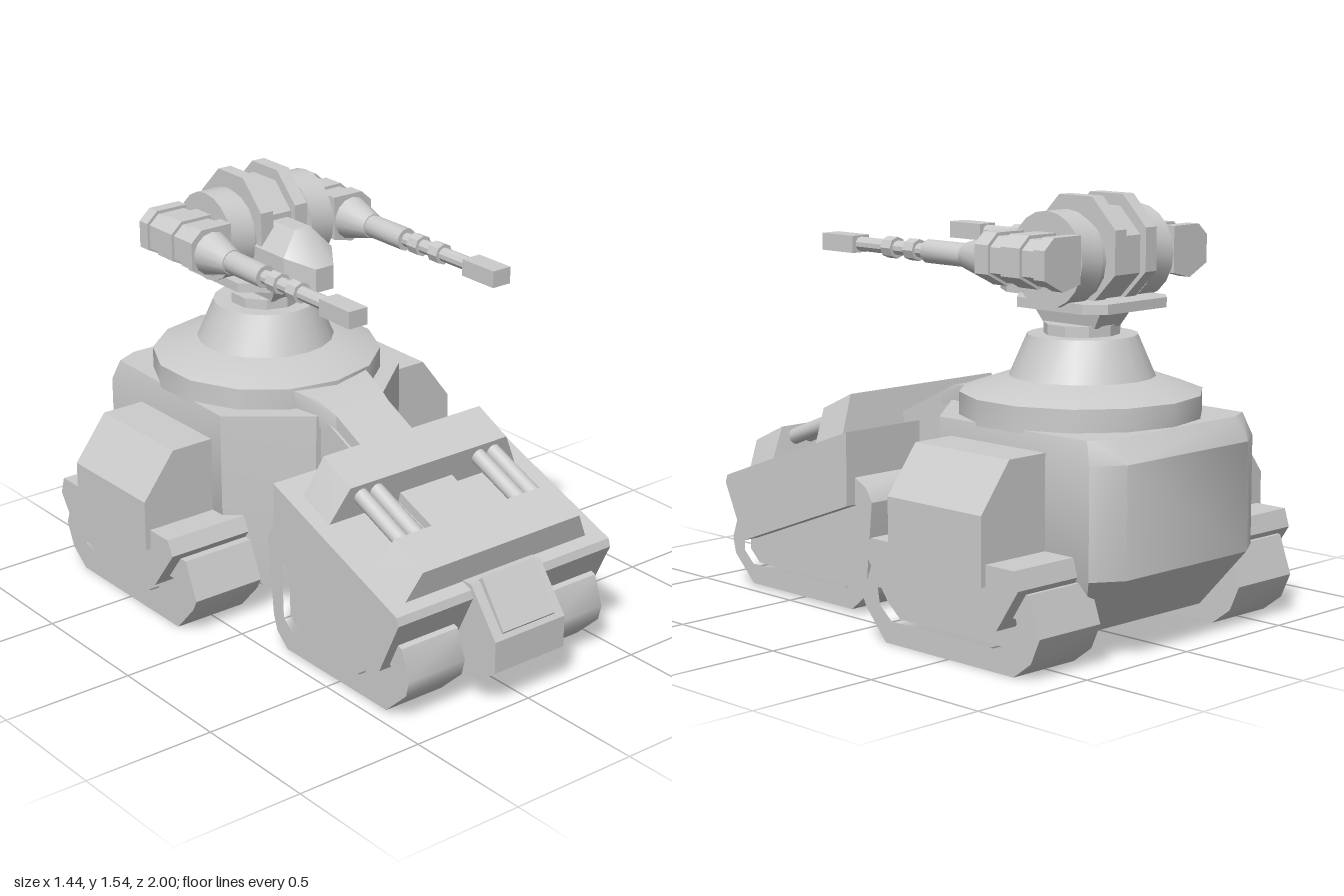
import * as THREE from 'three';
import { toCreasedNormals } from 'three/addons/utils/BufferGeometryUtils.js';
import { ConvexGeometry } from 'three/addons/geometries/ConvexGeometry.js';

export function createModel() {
  const model = new THREE.Group();
  model.name = 'turretVehicle';
  const grey = new THREE.MeshStandardMaterial({ color: 0xcccccc });

  const add = (name, geometry, parent = model) => {
    const mesh = new THREE.Mesh(toCreasedNormals(geometry, 0.6), grey);
    mesh.name = name;
    parent.add(mesh);
    return mesh;
  };
  const path = (pts) => pts.map(([a, b]) => new THREE.Vector2(a, b));
  const extrude = (pts, depth, hole) => {
    const shape = new THREE.Shape(path(pts));
    if (hole) shape.holes.push(new THREE.Path(path(hole)));
    return new THREE.ExtrudeGeometry(shape, { depth, bevelEnabled: false });
  };
  // side profile of [z, y] points, spanning x0..x1
  const sideways = (name, pts, x0, x1, hole) =>
    add(name, extrude(pts, x1 - x0, hole).rotateY(-Math.PI / 2).translate(x1, 0, 0));
  // convex solid from [x, y, z] points, each mirrored across x
  const hull = (name, pts) =>
    add(name, new ConvexGeometry(pts.flatMap(([x, y, z]) =>
      [new THREE.Vector3(x, y, z), new THREE.Vector3(-x, y, z)])));
  const box = (name, x0, x1, y0, y1, z0, z1) =>
    add(name, new THREE.BoxGeometry(x1 - x0, y1 - y0, z1 - z0)
      .translate((x0 + x1) / 2, (y0 + y1) / 2, (z0 + z1) / 2));
  // upright ring or cone centred on the turret axis
  const drum = (name, rTop, rBottom, y0, y1, sides, z = -0.5) =>
    add(name, new THREE.CylinderGeometry(rTop, rBottom, y1 - y0, sides).translate(0, (y0 + y1) / 2, z));
  // barrel section along z
  const barrel = (name, x, y, z0, z1, rBack, rFront, sides = 14) =>
    add(name, new THREE.CylinderGeometry(rFront, rBack, z1 - z0, sides)
      .rotateX(Math.PI / 2).translate(x, y, (z0 + z1) / 2));
  // disc with its axis along x
  const disc = (name, x0, x1, y, z, r, sides, turn = 0) =>
    add(name, new THREE.CylinderGeometry(r, r, x1 - x0, sides)
      .rotateY(turn).rotateZ(Math.PI / 2).translate((x0 + x1) / 2, y, z));
  // place a span on the +x or -x side
  const span = (s, a, b) => (s > 0 ? [a, b] : [-b, -a]);

  // rear hull
  hull('rearHull', [
    [0.16, 0.08, -0.02], [0.16, 0.23, 0], [0.15, 0.77, 0],
    [0.3, 0.08, -0.14], [0.42, 0.3, -0.22], [0.42, 0.77, -0.22],
    [0.3, 0.08, -0.8], [0.42, 0.3, -0.93], [0.42, 0.69, -0.93], [0.4, 0.77, -0.9],
    [0.31, 0.3, -1], [0.31, 0.69, -1], [0.31, 0.77, -0.94],
  ]);

  // front hull, belly and neck
  sideways('frontHull', [[0.88, 0.39], [0.78, 0.18], [0.19, 0.4], [0.19, 0.67], [0.87, 0.42]], -0.49, 0.49);
  hull('belly', [
    [0.2, 0.4, 0.8], [0.2, 0.14, 0.8], [0.16, 0.09, 0.78],
    [0.2, 0.5, 0.12], [0.2, 0.15, 0.12], [0.16, 0.11, 0.12],
  ]);
  sideways('neck', [[0.25, 0.12], [0.25, 0.66], [0, 0.77], [-0.1, 0.77], [-0.1, 0.12]], -0.13, 0.13);

  // spine running from the front deck up to the turret base
  hull('spineFront', [
    [0.12, 0.685, 0.3], [0.12, 0.6, 0.3], [0.12, 0.79, 0.08], [0.12, 0.6, 0.08],
  ]);
  hull('spineRear', [
    [0.12, 0.79, 0.08], [0.12, 0.7, 0.08], [0.135, 0.825, 0], [0.13, 0.75, 0],
    [0.17, 0.84, -0.12], [0.16, 0.75, -0.12],
  ]);
  sideways('deckPanel', [[0.7, 0.46], [0.7, 0.52], [0.28, 0.68], [0.28, 0.6]], -0.12, 0.12);

  // nose block with a raised hatch
  sideways('noseBlock', [[0.78, 0.09], [0.92, 0.09], [1, 0.15], [1, 0.27], [0.87, 0.44], [0.78, 0.44]], -0.16, 0.16);
  sideways('noseHatch', [[0.975, 0.27], [0.995, 0.295], [0.88, 0.46], [0.85, 0.43]], -0.12, 0.12);

  // armour bars across the front deck: [z, y] of base and top edges
  const bars = [
    [[0.28, 0.63], [0.43, 0.58], [0.31, 0.78], [0.46, 0.71]],
    [[0.67, 0.5], [0.82, 0.41], [0.7, 0.61], [0.85, 0.54]],
  ];
  for (const edges of bars) {
    hull('deckBar', edges.map(([z, y], i) => [i < 2 ? 0.43 : 0.36, y, z]));
  }
  // pipes between the bars
  for (const x of [-0.305, -0.235, 0.235, 0.305]) {
    const line = new THREE.LineCurve3(new THREE.Vector3(x, 0.675, 0.42), new THREE.Vector3(x, 0.56, 0.71));
    add('deckPipe', new THREE.TubeGeometry(line, 1, 0.03, 12));
  }

  const frontTrack = [[0.89, 0.17], [0.875, 0.11], [0.77, 0.01], [0.21, 0.01], [0.15, 0.06], [0.13, 0.12],
    [0.1, 0.42], [0.13, 0.47], [0.19, 0.5], [0.5, 0.42], [0.85, 0.28]];
  const frontWell = [[0.82, 0.18], [0.82, 0.13], [0.77, 0.085], [0.24, 0.085], [0.19, 0.13],
    [0.18, 0.4], [0.4, 0.38]];
  const rearTrack = [[-0.07, 0.15], [-0.09, 0.11], [-0.19, 0], [-0.81, 0], [-0.89, 0.06], [-0.93, 0.15],
    [-0.88, 0.29], [-0.13, 0.29]];
  const rearWell = [[-0.15, 0.19], [-0.16, 0.13], [-0.22, 0.08], [-0.75, 0.08], [-0.84, 0.14], [-0.82, 0.2]];

  for (const s of [1, -1]) {
    // tracks with recessed wells
    sideways('frontTrack', frontTrack, ...span(s, 0.2, 0.45), frontWell);
    sideways('frontTrackCore', frontWell, ...span(s, 0.21, 0.42));
    sideways('rearTrack', rearTrack, ...span(s, 0.36, 0.65), rearWell);
    sideways('rearTrackCore', rearWell, ...span(s, 0.37, 0.61));
    // skirt above the rear track
    sideways('trackSkirt', [[-0.14, 0.32], [-0.26, 0.16], [-0.78, 0.16], [-0.88, 0.31], [-0.86, 0.375], [-0.17, 0.375]],
      ...span(s, 0.36, 0.7));
    // side pod, mounted a little lower on the right
    const top = s > 0 ? 0.71 : 0.66;
    const pod = [[0.38, 0.3], [0.72, 0.3], [0.72, top - 0.17], [0.59, top], [0.38, top]].map(([x, y]) => [s * x, y]);
    add('sidePod', extrude(pod, 0.45).translate(0, 0, -0.73));
  }

  // stepped turret base
  drum('baseDrum', 0.43, 0.43, 0.76, 0.85, 14);
  drum('baseSlope', 0.27, 0.43, 0.85, 0.905, 14);
  drum('baseCone', 0.195, 0.26, 0.9, 1.05, 20, -0.505);
  drum('collar', 0.135, 0.135, 1.04, 1.088, 10);
  hull('pedestal', [
    [0.065, 1.08, -0.38], [0.065, 1.08, -0.62], [0.085, 1.17, -0.32], [0.085, 1.17, -0.68],
  ]);
  hull('platform', [1.15, 1.185].flatMap((y) => [
    [0.12, y, -0.31], [0.21, y, -0.39], [0.21, y, -0.7], [0.15, y, -0.76],
  ]));

  // turret head: core, octagonal fins and side discs
  const eighth = Math.PI / 8;
  disc('headCore', -0.13, 0.13, 1.325, -0.56, 0.15, 16);
  disc('headSpacer', -0.055, 0.055, 1.34, -0.565, 0.172, 8, eighth);
  for (const s of [1, -1]) {
    disc('headFin', ...span(s, 0.05, 0.105), 1.355, -0.565, 0.2, 8, eighth);
    disc('headDisc', ...span(s, 0.13, 0.232), 1.327, -0.55, 0.167, 20);
  }
  // faceted sensor at the front of the head
  hull('sensor', [
    ...[1.18, 1.3].flatMap((y) => [[0.11, y, -0.45], [0.11, y, -0.24]]),
    [0.04, 1.18, -0.14], [0.04, 1.27, -0.14], [0.035, 1.385, -0.45], [0.035, 1.385, -0.27],
  ]);

  // twin guns
  const housing = [[-0.09, -0.045], [0, -0.09], [0.085, -0.07], [0.085, 0.095], [-0.045, 0.095], [-0.09, 0.055]];
  for (const s of [1, -1]) {
    const x = s * 0.322, y = 1.327;
    const section = (name, k, z0, z1) =>
      add(name, extrude(housing.map(([a, b]) => [-s * a * k, b * k]), z1 - z0).translate(x, y, z0));
    section('gunHousing', 0.88, -0.71, -0.39);
    for (const [z0, z1] of [[-0.715, -0.665], [-0.6, -0.51], [-0.45, -0.385]]) section('housingRib', 1, z0, z1);
    disc('gunAxle', ...span(s, 0.2, 0.3), y, -0.55, 0.07, 12);
    barrel('barrelCone', x, y, -0.39, -0.26, 0.082, 0.046);
    barrel('barrelSleeve', x, y, -0.26, -0.065, 0.042, 0.042);
    barrel('barrelTube', x, y, -0.07, 0.3, 0.026, 0.026, 10);
    for (const z of [-0.02, 0.095]) barrel('barrelRing', x, y, z, z + 0.05, 0.039, 0.039, 8);
    box('muzzle', x - 0.04, x + 0.04, y - 0.031, y + 0.031, 0.29, 0.455);
  }
  return model;
}
